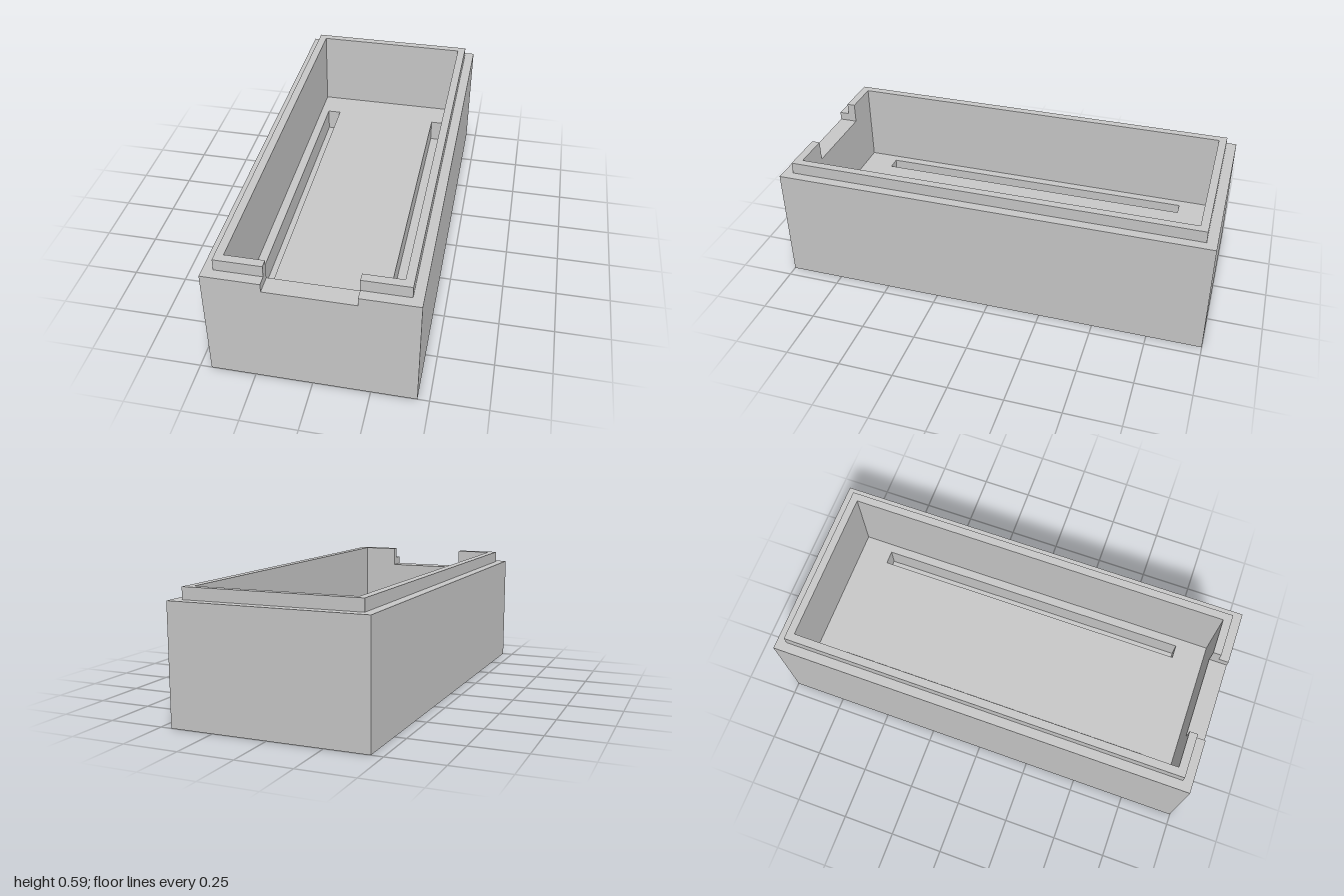
import * as THREE from 'three';

// Horizontal plan of the tray, in x and z
const OUT = { x: 0.4485, z0: -1, z1: 1 };
const LIP = { x: 0.404, z0: -0.954, z1: 0.954 };
const INN = { x: 0.367, z0: -0.918, z1: 0.916 };
const NOTCH = 0.196;

const rect = (x0, x1, z0, z1) => [[x0, z0], [x1, z0], [x1, z1], [x0, z1]];
const plan = (r) => rect(-r.x, r.x, r.z0, r.z1);
const toPoints = (pts) => pts.map(([x, z]) => new THREE.Vector2(x, -z));

// Ring outline that is open at the front, where the notch is
const openRing = (r) => [
  [-NOTCH, r.z1], [-r.x, r.z1], [-r.x, r.z0], [r.x, r.z0], [r.x, r.z1], [NOTCH, r.z1],
  [NOTCH, INN.z1], [INN.x, INN.z1], [INN.x, INN.z0], [-INN.x, INN.z0], [-INN.x, INN.z1], [-NOTCH, INN.z1],
];

export function createModel() {
  const group = new THREE.Group();
  const grey = new THREE.MeshStandardMaterial({ color: 0xc8c8c8 });
  grey.name = 'grey';

  // Raises a plan outline from y0 to y1; holes wind against the outline so their walls face inwards
  const layer = (name, outline, holes, y0, y1) => {
    const shape = new THREE.Shape(toPoints(outline));
    for (const h of holes) shape.holes.push(new THREE.Path(toPoints(h).reverse()));
    const geo = new THREE.ExtrudeGeometry(shape, { depth: y1 - y0, bevelEnabled: false });
    geo.rotateX(-Math.PI / 2).translate(0, y0, 0);
    const mesh = new THREE.Mesh(geo, grey);
    mesh.name = name;
    group.add(mesh);
  };

  const slots = [rect(-0.326, -0.262, -0.771, 0.769), rect(0.262, 0.326, -0.771, 0.769)];
  layer('base', plan(OUT), [], 0, 0.1);
  layer('slottedFloor', plan(OUT), slots, 0.1, 0.21);
  layer('lowerWalls', plan(OUT), [plan(INN)], 0.21, 0.498);
  layer('notchedWalls', openRing(OUT), [], 0.498, 0.537);
  layer('lip', openRing(LIP), [], 0.537, 0.591);
  return group;
}
